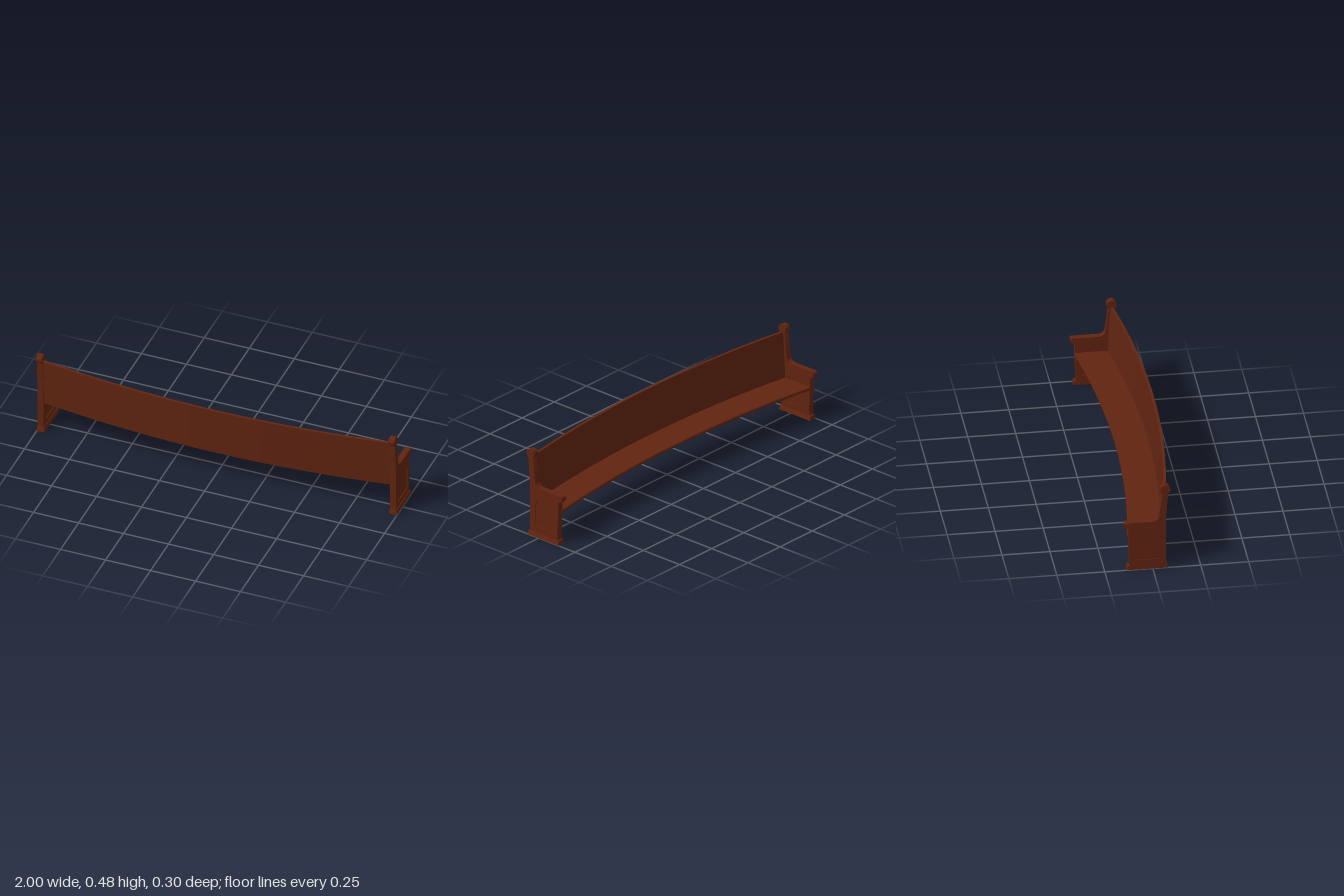
import * as THREE from 'three';
import { mergeVertices, toCreasedNormals } from 'three/addons/utils/BufferGeometryUtils.js';

const BOW = 0.077;      // how far the ends sweep back from the middle
const HALF = 0.967;     // half length between the ends
const END_WIDTH = 0.033;

const wood = new THREE.MeshStandardMaterial({ color: 0x602410 });
wood.name = 'dark brown wood';

// Side profiles are drawn as (-z, y) and extruded along +x.
function extrudeAlongX(shape, width, steps = 1) {
  const geo = new THREE.ExtrudeGeometry(shape, {
    depth: width, steps, bevelEnabled: false, curveSegments: 10,
  });
  return geo.rotateY(Math.PI / 2);
}

function polygon(points) {
  return new THREE.Shape(points.map(([u, y]) => new THREE.Vector2(u, y)));
}

function part(geo, name) {
  const mesh = new THREE.Mesh(geo, wood);
  mesh.name = name;
  return mesh;
}

// Long board bowed in plan
function bowedBoard(points, name) {
  const geo = extrudeAlongX(polygon(points), HALF * 2, 28).translate(-HALF, 0, 0);
  const p = geo.attributes.position;
  for (let i = 0; i < p.count; i++) {
    const t = p.getX(i) / HALF;
    p.setZ(i, p.getZ(i) - BOW * t * t);
  }
  geo.deleteAttribute('uv');
  geo.deleteAttribute('normal');
  return part(toCreasedNormals(mergeVertices(geo), 0.5), name);
}

const archPoints = [
  [-0.035, 0.055], [0.092, 0.055], [0.092, 0.19], [0.077, 0.21], [0.05, 0.222],
  [0.012, 0.222], [-0.01, 0.214], [-0.023, 0.197], [-0.035, 0.163],
];

// Bench end silhouette with armrest, upright and round finial
function endShape() {
  const s = new THREE.Shape();
  s.moveTo(-0.068, 0.018);
  s.lineTo(0.12, 0.018);
  s.lineTo(0.127, 0.245);
  s.lineTo(0.138, 0.245);
  s.quadraticCurveTo(0.149, 0.245, 0.149, 0.256);
  s.lineTo(0.149, 0.266);
  s.quadraticCurveTo(0.149, 0.277, 0.138, 0.277);
  s.lineTo(0, 0.277);
  s.quadraticCurveTo(-0.029, 0.279, -0.034, 0.31);
  s.lineTo(-0.05, 0.437);
  s.absarc(-0.066, 0.459, 0.026, -0.94, 4.15, false);
  s.lineTo(-0.068, 0.27);
  s.closePath();
  s.holes.push(new THREE.Path(archPoints.map(([u, y]) => new THREE.Vector2(u, y)).reverse()));
  return s;
}

function benchEnd(name) {
  const end = new THREE.Group();
  end.name = name;
  end.add(part(toCreasedNormals(extrudeAlongX(endShape(), END_WIDTH), 0.6), 'endPanel'));

  // Recessed arched field, visible on both faces
  const recess = 0.005;
  const field = extrudeAlongX(polygon(archPoints), END_WIDTH - recess * 2);
  end.add(part(field.translate(recess, 0, 0), 'archedInset'));

  // Splayed plinth, wider on one side
  const plinth = extrudeAlongX(
    polygon([[-0.08, 0], [0.135, 0], [0.13, 0.022], [-0.075, 0.022]]), 0.043);
  const p = plinth.attributes.position;
  for (let i = 0; i < p.count; i++) {
    if (p.getY(i) > 0.01 && p.getX(i) > 0.02) p.setX(i, 0.037);
  }
  plinth.computeVertexNormals();
  end.add(part(plinth, 'plinth'));
  return end;
}

export function createModel() {
  const pew = new THREE.Group();
  pew.name = 'curvedBench';

  // Both ends are the same piece, repeated
  const rightEnd = benchEnd('rightEnd');
  rightEnd.position.x = -1;
  const leftEnd = benchEnd('leftEnd');
  leftEnd.position.x = 0.957;
  pew.add(rightEnd, leftEnd);

  // Backrest leaning outwards towards the top
  pew.add(bowedBoard(
    [[-0.135, 0.172], [-0.119, 0.172], [-0.135, 0.445], [-0.15, 0.445]], 'backrest'));

  // Seat with a softened front edge
  pew.add(bowedBoard(
    [[-0.125, 0.172], [0.05, 0.171], [0.053, 0.175], [0.053, 0.185], [0.049, 0.189], [-0.125, 0.189]],
    'seat'));

  return pew;
}
